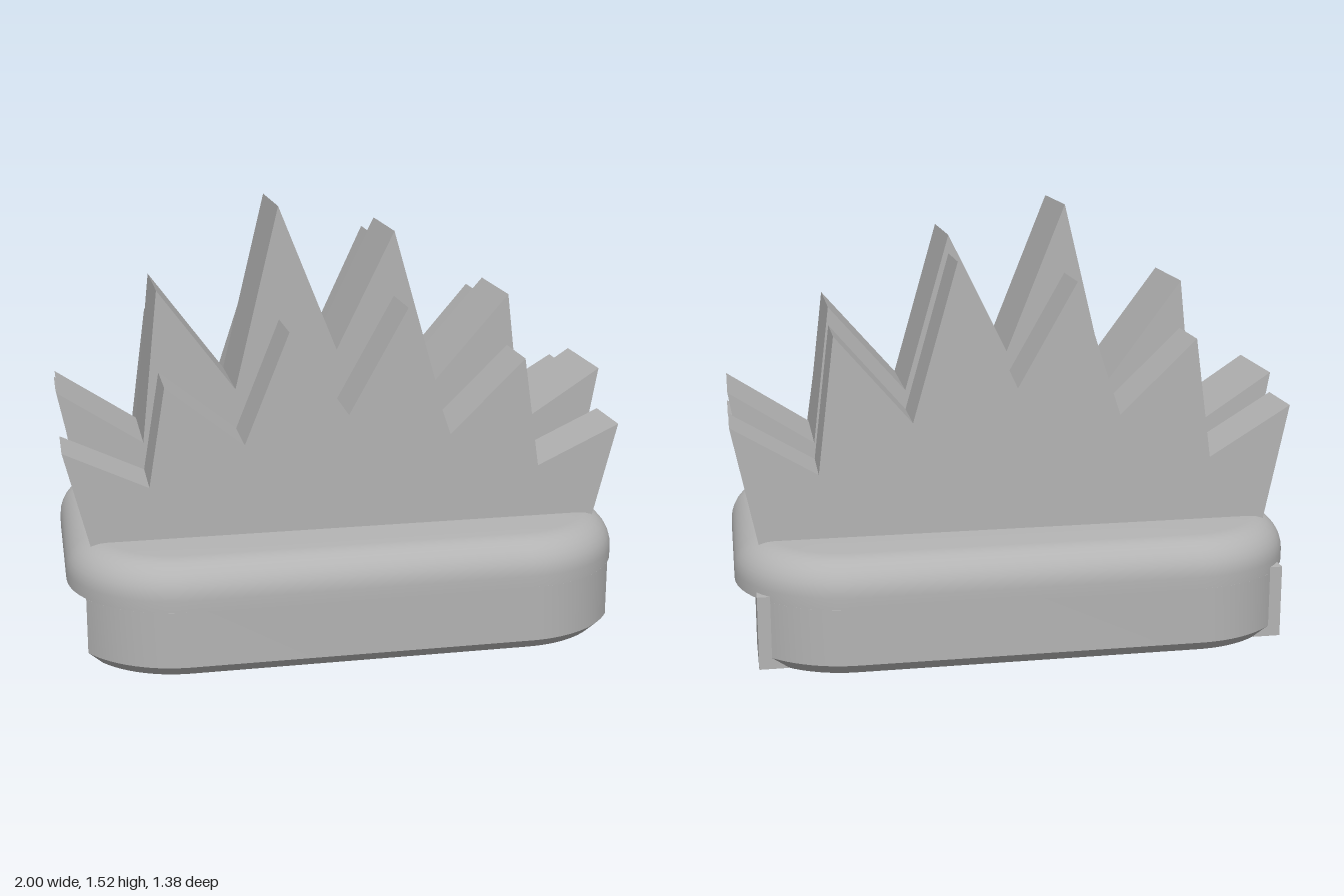
import * as THREE from 'three';
import { toCreasedNormals } from 'three/addons/utils/BufferGeometryUtils.js';

const grey = new THREE.MeshStandardMaterial({ color: 0xb3b3b3 });
grey.name = 'plain grey';

const CX = 0.6, CZ = 0.29, R = 0.4; // corner centres and radius of the base outline

// arc of outline points, angles in radians, going from +x towards +z
function arc(cx, cz, r, from, to, n = 14) {
  return Array.from({ length: n + 1 }, (_, i) => {
    const a = from + (to - from) * i / n;
    return [cx + r * Math.cos(a), cz + r * Math.sin(a)];
  });
}

// rounded rectangle, pulled in by inset
function fullOutline(inset) {
  const q = Math.PI / 2;
  return [[1, 1], [-1, 1], [-1, -1], [1, -1]].flatMap(([sx, sz], i) =>
    arc(sx * CX, sz * CZ, R - inset, i * q, (i + 1) * q));
}

// the part of the outline beyond z = cut
function legOutline(inset, cut) {
  const r = R - inset, a = Math.asin((cut - CZ) / r);
  return [...arc(CX, CZ, r, a, Math.PI / 2), ...arc(-CX, CZ, r, Math.PI / 2, Math.PI - a)];
}

// closed solid through rings [y, outline], bottom to top
function loft(rings) {
  const out = [];
  const tri = (...ps) => ps.forEach(([y, p]) => out.push(p[0], y, p[1]));
  const n = rings[0][1].length;
  for (let k = 0; k < rings.length - 1; k++) {
    const [y0, lo] = rings[k], [y1, hi] = rings[k + 1];
    for (let i = 0; i < n; i++) {
      const j = (i + 1) % n;
      tri([y0, lo[i]], [y1, hi[j]], [y0, lo[j]]);
      tri([y0, lo[i]], [y1, hi[i]], [y1, hi[j]]);
    }
  }
  const [yb, bottom] = rings[0], [yt, top] = rings[rings.length - 1];
  for (let i = 1; i < n - 1; i++) {
    tri([yb, bottom[0]], [yb, bottom[i]], [yb, bottom[i + 1]]);
    tri([yt, top[0]], [yt, top[i + 1]], [yt, top[i]]);
  }
  const g = new THREE.BufferGeometry();
  g.setAttribute('position', new THREE.Float32BufferAttribute(out, 3));
  g.computeVertexNormals();
  return toCreasedNormals(g, 0.6);
}

export function createModel() {
  const model = new THREE.Group();
  model.name = 'spikedCap';
  const add = (name, geometry) => {
    const mesh = new THREE.Mesh(geometry, grey);
    mesh.name = name;
    model.add(mesh);
    return mesh;
  };
  const box = (name, x0, x1, y0, y1, z0, z1) =>
    add(name, new THREE.BoxGeometry(x1 - x0, y1 - y0, z1 - z0))
      .position.set((x0 + x1) / 2, (y0 + y1) / 2, (z0 + z1) / 2);

  // base slab with a rounded upper rim
  const rings = [[0.24, fullOutline(0)]];
  for (let i = 0; i <= 8; i++) {
    const a = i / 8 * Math.PI / 2;
    rings.push([0.28 + 0.12 * Math.sin(a), fullOutline(0.12 * (1 - Math.cos(a)))]);
  }
  add('baseSlab', loft(rings));

  // chamfered walls hanging under the front and back
  const leg = cut => loft([[0, legOutline(0.04, cut)], [0.04, legOutline(0, cut)], [0.24, legOutline(0, cut)]]);
  add('frontWall', leg(0.5));
  add('backWall', leg(0.57)).rotation.y = Math.PI;

  // clip behind the back wall: split rail, end tabs and a centre web
  box('clipRailLeft', -0.08, 0.93, 0, 0.21, -0.4, -0.32);
  box('clipRailRight', -0.93, -0.22, 0, 0.21, -0.4, -0.32);
  box('clipTabLeft', 0.83, 0.93, 0, 0.26, -0.57, -0.4);
  box('clipTabRight', -0.93, -0.83, 0, 0.26, -0.57, -0.4);
  box('clipWeb', -0.08, 0, 0, 0.25, -0.57, -0.4);

  // three rows of spikes; heights alternate peak, valley, peak from -x to +x
  const spikeX = [-1, -0.705, -0.645, -0.37, -0.21, 0, 0.21, 0.37, 0.64, 0.7, 1];
  const rows = [
    ['frontSpikes', 0.17, 0.393, [0.73, 0.59, 0.945, 0.725, 1.12, 0.815, 1.19, 0.725, 0.99, 0.59, 0.73]],
    ['middleSpikes', -0.173, 0.17, [0.885, 0.69, 1.24, 0.87, 1.525, 1, 1.425, 0.87, 1.18, 0.69, 0.885]],
    ['backSpikes', -0.393, -0.173, [0.81, 0.63, 1.065, 0.8, 1.28, 0.91, 1.36, 0.8, 1.115, 0.63, 0.81]],
  ];
  for (const [name, z0, z1, heights] of rows) {
    const shape = new THREE.Shape([
      new THREE.Vector2(-0.912, 0.38),
      ...spikeX.map((x, i) => new THREE.Vector2(x, heights[i])),
      new THREE.Vector2(0.912, 0.38),
    ]);
    add(name, new THREE.ExtrudeGeometry(shape, { depth: z1 - z0, bevelEnabled: false })).position.z = z0;
  }
  return model;
}
